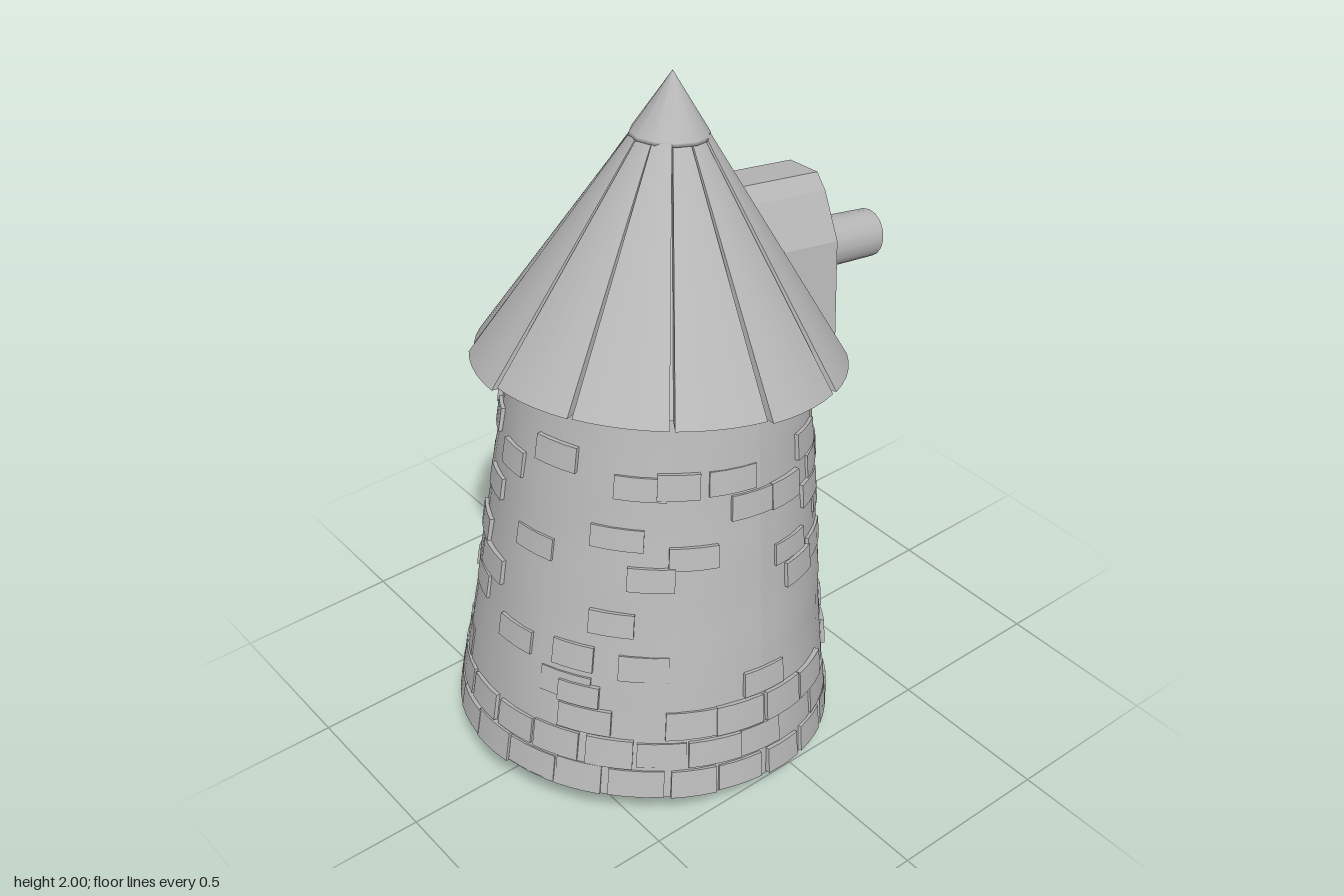
import * as THREE from 'three';
import { mergeGeometries } from 'three/addons/utils/BufferGeometryUtils.js';

const stone = new THREE.MeshStandardMaterial({ color: 0xb6b6b6, side: THREE.DoubleSide });
stone.name = 'grey stone';

const RAD = Math.PI / 180;
const WALL_H = 1.17;
const wallR = (y) => 0.552 - 0.113 * y;                      // tapering tower
const roofR = (y) => 0.525 - (y - 1.14) * (0.415 / 0.625);   // conical roof

let seed = 11;
const rand = () => (seed = (seed * 16807) % 2147483647) / 2147483647;
const jitter = (s) => (rand() - 0.5) * s;

// Curved slab hugging a round surface; 0 degrees is +x, 90 degrees is +z
function slab(deg, y, widthDeg, height, inner, outer, radius = wallR, segs = 3) {
  const g = new THREE.BoxGeometry(1, 1, 1, segs, 1, 1);
  const p = g.attributes.position;
  for (let i = 0; i < p.count; i++) {
    const a = (deg - p.getX(i) * widthDeg) * RAD;
    const h = y + p.getY(i) * height;
    const r = radius(h) + (p.getZ(i) > 0 ? outer : inner);
    p.setXYZ(i, Math.cos(a) * r, h, Math.sin(a) * r);
  }
  g.computeVertexNormals();
  return g;
}

// One irregular brick, width given in units
function brick(deg, y, w = 0.13, h = 0.07) {
  const wide = (w + jitter(0.04)) / wallR(y) / RAD;
  return slab(deg, y, wide, h + jitter(0.016), -0.02, 0.009 + jitter(0.008));
}

function add(parent, name, geometry) {
  const m = new THREE.Mesh(geometry, stone);
  m.name = name;
  parent.add(m);
  return m;
}

// Gabled outline, mirrored from its right half
function outline(half, Type) {
  const left = half.map(([x, y]) => [-x, y]).reverse();
  return new Type([...half, ...left].map(([x, y]) => new THREE.Vector2(x, y)));
}

function buildTower(tower) {
  // Slightly uneven plaster shell, open below
  const wall = new THREE.CylinderGeometry(wallR(WALL_H), wallR(0), WALL_H, 48, 12, true);
  wall.translate(0, WALL_H / 2, 0);
  const p = wall.attributes.position;
  for (let i = 0; i < p.count; i++) {
    const x = p.getX(i), y = p.getY(i), z = p.getZ(i);
    const a = Math.atan2(z, x);
    const k = 1 + 0.008 * Math.sin(5 * a + 9 * y) * Math.sin(3 * a - 13 * y);
    p.setXYZ(i, x * k, y, z * k);
  }
  wall.computeVertexNormals();
  add(tower, 'towerWall', wall);

  // Courses of stone around the foot, thinning out upwards
  const foot = [];
  [1, 0.8, 0.55, 0.3].forEach((chance, row) => {
    const n = 22, step = 360 / n;
    for (let i = 0; i < n; i++) {
      const deg = (i + (row % 2) / 2) * step;
      const nearDoor = Math.abs(((deg + 180) % 360) - 180) < 21;
      if (nearDoor || rand() > chance) continue;
      foot.push(brick(deg + jitter(2), 0.045 + row * 0.09, 0.142, 0.082));
    }
  });
  add(tower, 'footStones', mergeGeometries(foot));

  // Stones showing through the plaster: angle, height
  const spots = [
    [121, 0.94], [101, 0.94], [61, 0.96], [93, 0.86], [77, 0.86], [58, 0.8], [115, 0.73],
    [75, 0.68], [70, 0.6], [134, 0.93], [141, 0.78], [129, 0.67], [141, 0.53], [130, 0.4],
    [153, 0.41], [150, 0.3], [31, 0.86], [16, 0.86], [51, 0.87], [47, 0.74], [-29, 0.9],
    [-25, 0.74], [3, 0.65], [-3, 0.57], [10, 0.54], [14, 0.46], [-13, 0.46], [1, 0.47],
    [-38, 0.38], [54, 0.62], [-70, 0.66], [-62, 0.8], [-58, 1.04], [-46, 0.55], [-117, 0.84],
    [-122, 0.75], [-112, 0.5], [-128, 0.42], [-135, 1.0], [-148, 0.95], [-160, 0.78],
    [-152, 0.62], [-166, 0.55], [-158, 0.46], [-172, 0.9], [172, 0.7], [176, 0.4], [166, 0.98],
  ];
  add(tower, 'wallStones', mergeGeometries(spots.map(([a, y]) => brick(a, y))));
}

function buildDoor(tower) {
  const door = new THREE.Group();
  door.name = 'door';
  tower.add(door);
  const planks = [];
  for (let i = 0; i < 4; i++) {
    planks.push(slab(-10.5 + i * 7, 0.185, 6.2, 0.36, -0.02, 0.006 + (i % 2) * 0.008, wallR, 1));
  }
  add(door, 'doorPlanks', mergeGeometries(planks));
  add(door, 'doorPosts', mergeGeometries([-16.5, 16.5].map((a) => slab(a, 0.185, 3, 0.37, -0.02, 0.018, wallR, 1))));
  add(door, 'doorLintel', slab(1, 0.395, 38, 0.05, -0.02, 0.04, wallR, 6));
}

function buildWindow(tower) {
  const win = new THREE.Group();
  win.name = 'window';
  tower.add(win);
  const a = -89, y = 0.71;
  // Rough stone surround
  const frame = [slab(a, y + 0.125, 27, 0.045, -0.02, 0.02), slab(a, y - 0.125, 29, 0.05, -0.02, 0.03)];
  for (const s of [-1, 1]) {
    for (let i = -1; i <= 1; i++) {
      frame.push(slab(a + s * 11.5, y + i * 0.07, 5 + jitter(3), 0.064, -0.02, 0.018, wallR, 1));
    }
  }
  add(win, 'windowSurround', mergeGeometries(frame));
  // Lattice bars
  const bars = [-4, 4].map((d) => slab(a + d, y, 2, 0.21, -0.01, 0.013, wallR, 1));
  for (const d of [-0.035, 0.035]) bars.push(slab(a, y + d, 18, 0.018, -0.01, 0.015));
  add(win, 'windowBars', mergeGeometries(bars));
}

function buildRoof(tower) {
  const roof = new THREE.Group();
  roof.name = 'roof';
  tower.add(roof);
  // Core under the boards, with closed eaves
  const core = [[0.41, 1.15], [0.465, 1.145], [0.07, 1.77]].map(([x, y]) => new THREE.Vector2(x, y));
  add(roof, 'roofCore', new THREE.LatheGeometry(core, 48));
  // Twelve tapering boards with open seams; those behind the dormer stop above it
  const boards = [];
  const board = (deg, width, bottom, top, lift) =>
    boards.push(slab(deg, (bottom + top) / 2, width, top - bottom, -0.055, lift, roofR, 5));
  for (let i = 0; i < 12; i++) {
    const deg = 20 + i * 30, bottom = 1.135 + jitter(0.02), lift = jitter(0.01);
    const behindDormer = i === 0 || i === 11;
    board(deg, 28.4, behindDormer ? 1.5 : bottom, 1.775, lift);
  }
  board(28, 12.4, 1.135, 1.5, 0);
  board(-22.2, 4, 1.135, 1.5, 0);
  add(roof, 'roofBoards', mergeGeometries(boards));
  const cap = [[0.09, 1.76], [0.113, 1.765], [0.11, 1.775], [0, 1.942]].map(([x, y]) => new THREE.Vector2(x, y));
  add(roof, 'roofCap', new THREE.LatheGeometry(cap, 12));
}

function buildDormer(tower) {
  const dormer = new THREE.Group();
  dormer.name = 'dormer';
  dormer.rotation.y = -0.055;
  tower.add(dormer);
  const outer = [[0.2, 1.115], [0.17, 1.43], [0.1, 1.56], [0.06, 1.602]];
  const inner = [[0.157, 1.14], [0.137, 1.41], [0.075, 1.525], [0.045, 1.55]];
  const extrude = (shape, x0, x1) =>
    new THREE.ExtrudeGeometry(shape, { depth: x1 - x0, bevelEnabled: false }).translate(0, 0, x0).rotateY(Math.PI / 2);
  add(dormer, 'dormerBody', extrude(outline(outer, THREE.Shape), 0.15, 0.435));
  const rim = outline(outer, THREE.Shape);
  rim.holes.push(outline(inner, THREE.Path));
  add(dormer, 'dormerFrame', extrude(rim, 0.43, 0.48));
  // Stub of the sail axle
  const axle = new THREE.CylinderGeometry(0.072, 0.08, 0.4, 16).rotateZ(-Math.PI / 2);
  add(dormer, 'sailAxle', axle.translate(0.55, 1.352, 0));
}

export function createModel() {
  const model = new THREE.Group();
  model.name = 'leaningMill';
  const tower = new THREE.Group();
  tower.name = 'leaningTower';
  model.add(tower);
  buildTower(tower);
  buildDoor(tower);
  buildWindow(tower);
  buildRoof(tower);
  buildDormer(tower);
  // Lean the whole building
  const up = new THREE.Vector3(0.128, 1, -0.08).normalize();
  tower.quaternion.setFromUnitVectors(new THREE.Vector3(0, 1, 0), up);
  tower.position.set(-0.187, 0.083, 0.032);
  return model;
}
